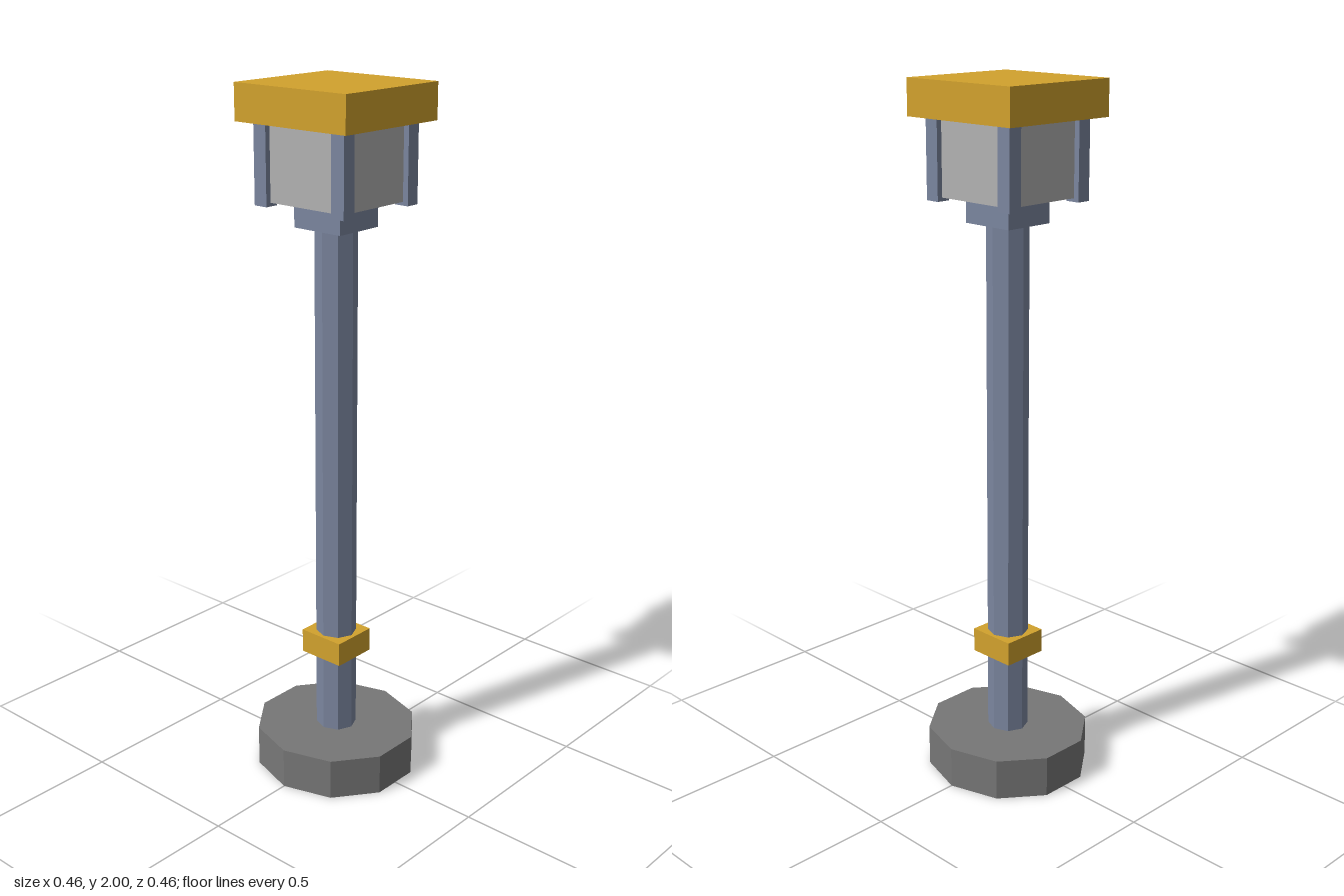
import * as THREE from 'three';

const material = (color) => new THREE.MeshStandardMaterial({ color, flatShading: true });
const DEPTH = 0.95; // the whole lamp is slightly shallower than wide

export function createModel() {
  const steel = material(0x7b869f);
  const gold = material(0xd2a22d);
  const stone = material(0x777777);
  const pane = material(0xb2b2b2);
  const model = new THREE.Group();
  model.name = 'lampPost';

  function add(name, geometry, mat, x, y0, y1, z = 0) {
    const mesh = new THREE.Mesh(geometry, mat);
    mesh.name = name;
    mesh.position.set(x, (y0 + y1) / 2, z * DEPTH);
    mesh.scale.z = DEPTH;
    model.add(mesh);
  }
  const box = (name, w, y0, y1, mat, x = 0, z = 0) =>
    add(name, new THREE.BoxGeometry(w, y1 - y0, w), mat, x, y0, y1, z);
  const prism = (name, r, sides, y0, y1, mat) =>
    add(name, new THREE.CylinderGeometry(r, r, y1 - y0, sides), mat, 0, y0, y1);

  // Ten-sided foot and eight-sided pole with a square band
  prism('base', 0.243, 10, 0, 0.12, stone);
  prism('pole', 0.06, 8, 0.12, 1.62, steel);
  box('band', 0.143, 0.355, 0.425, gold);

  // Lantern: bracket, pane block, corner posts and cap
  box('bracket', 0.162, 1.62, 1.69, steel);
  box('lanternPane', 0.28, 1.69, 1.9, pane);
  for (const x of [-1, 1]) {
    for (const z of [-1, 1]) {
      box('cornerPost', 0.043, 1.68, 1.9, steel, x * 0.135, z * 0.135);
    }
  }
  box('cap', 0.383, 1.9, 2, gold);

  return model;
}
